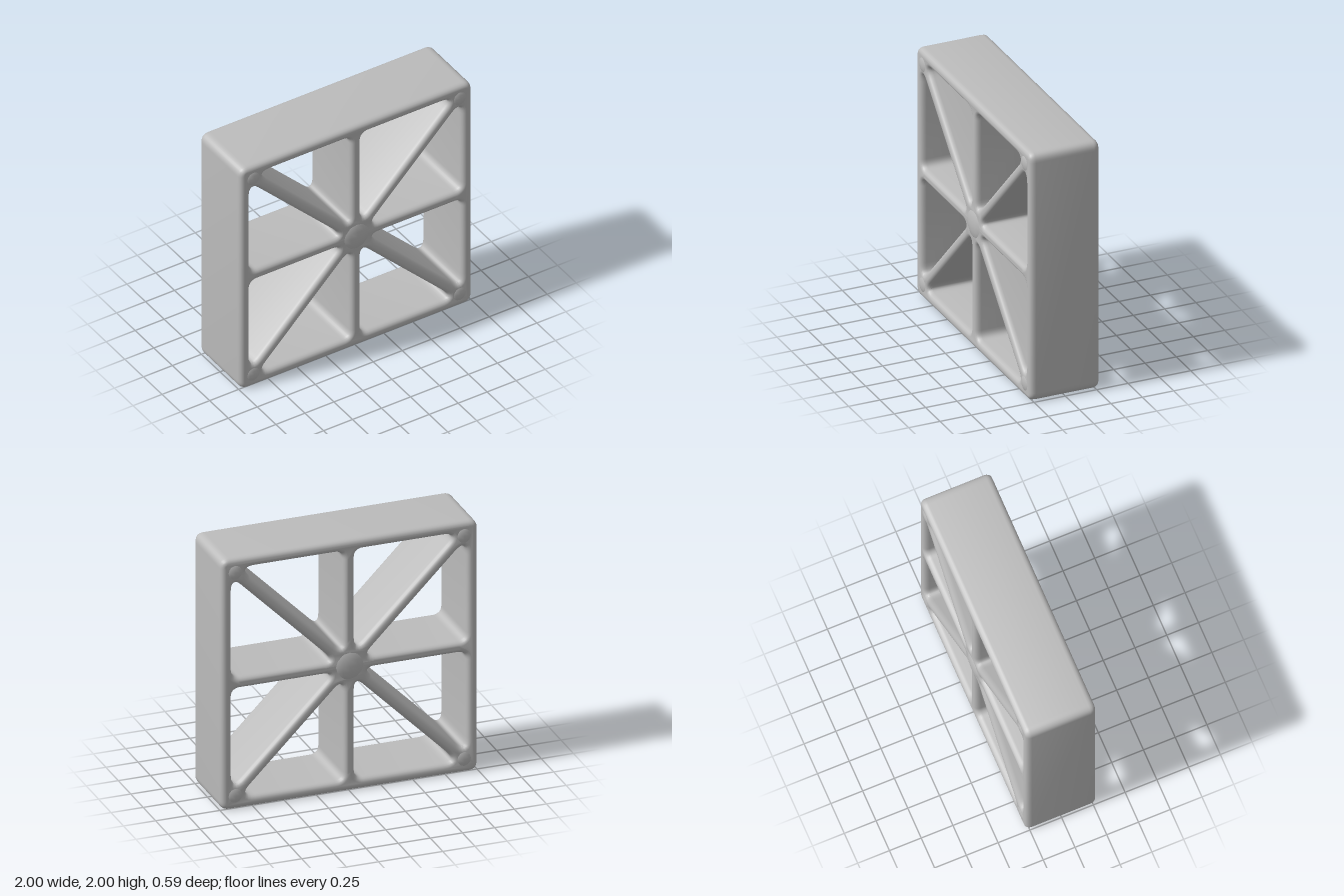
import * as THREE from 'three';
import { toCreasedNormals } from 'three/addons/utils/BufferGeometryUtils.js';

const INNER = 0.913;  // inner face of the square rim
const WEB = 0.044;    // half thickness of every spoke
const HALF = 0.277;   // half depth of the body
const BEVEL = 0.035, ROLL = 0.045;

// Closed outline through the corners, each rounded off over its own distance
function roundedOutline(path, corners) {
  const n = corners.length;
  corners.forEach(([x, y, d], i) => {
    const c = new THREE.Vector2(x, y);
    const toward = ([px, py]) => new THREE.Vector2(px, py).sub(c).setLength(d).add(c);
    const a = toward(corners[(i + n - 1) % n]);
    const b = toward(corners[(i + 1) % n]);
    if (i === 0) path.moveTo(a.x, a.y); else path.lineTo(a.x, a.y);
    path.quadraticCurveTo(x, y, b.x, b.y);
  });
  path.closePath();
  return path;
}

export function createModel() {
  const group = new THREE.Group();
  const grey = new THREE.MeshStandardMaterial({ color: 0xbcbcbc });
  grey.name = 'grey';

  // Square rim pierced by eight triangular openings, leaving the spokes
  const outline = roundedOutline(new THREE.Shape(), [[-1, -1, 0.07], [1, -1, 0.07], [1, 1, 0.07], [-1, 1, 0.07]]);
  const gap = WEB * Math.SQRT2;
  const opening = [[WEB + gap, WEB, 0.1], [INNER, WEB, 0.065], [INNER, INNER - gap, 0.12]];
  for (const sx of [-1, 1]) for (const sy of [-1, 1]) for (const swap of [false, true]) {
    const corners = opening.map(([x, y, d]) => (swap ? [sx * y, sy * x, d] : [sx * x, sy * y, d]));
    outline.holes.push(roundedOutline(new THREE.Path(), corners));
  }
  const body = new THREE.ExtrudeGeometry(outline, {
    depth: 2 * (HALF - ROLL), curveSegments: 8,
    bevelEnabled: true, bevelSize: BEVEL, bevelOffset: -BEVEL, bevelThickness: ROLL, bevelSegments: 4,
  });
  body.translate(0, 0, ROLL - HALF);
  const frame = new THREE.Mesh(toCreasedNormals(body, 0.7), grey);
  frame.name = 'spokedFrame';
  group.add(frame);

  // Shallow swellings where the spokes meet, on both faces
  const dome = new THREE.SphereGeometry(1, 16, 10);
  const addDome = (name, x, y, z, radius, height) => {
    const mesh = new THREE.Mesh(dome, grey);
    mesh.name = name;
    mesh.position.set(x, y, z);
    mesh.scale.set(radius, radius, height);
    group.add(mesh);
  };
  for (const side of [-1, 1]) {
    addDome('hub', 0, 0, side * 0.235, 0.15, 0.06);
    for (const sx of [-1, 1]) for (const sy of [-1, 1])
      addDome('cornerSwelling', sx * 0.89, sy * 0.89, side * 0.24, 0.09, 0.047);
  }

  // Stand the model on the ground
  group.children.forEach((part) => { part.position.y += 1; });
  return group;
}
